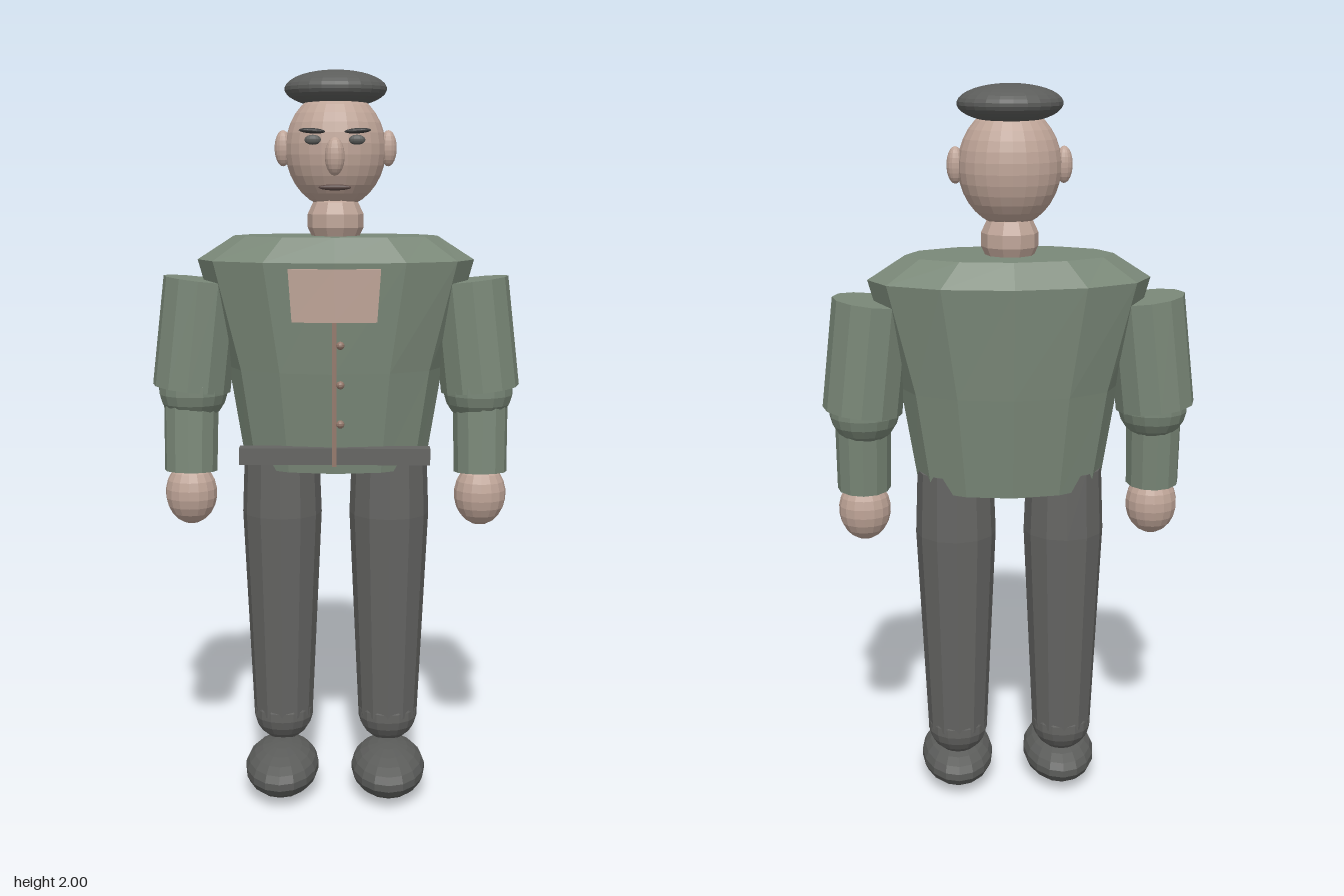
import * as THREE from 'three';

const material = (name, color) => {
  const m = new THREE.MeshStandardMaterial({ color });
  m.name = name;
  return m;
};

// Faceted shading: every face keeps its own normal
function faceted(geometry) {
  const g = geometry.index ? geometry.toNonIndexed() : geometry;
  g.computeVertexNormals();
  return g;
}

export function createModel() {
  const jacket = material('jacket green', 0x7a8878);
  const skin = material('skin', 0xbfa598);
  const cloth = material('trouser grey', 0x646462);
  const dark = material('shoe and cap grey', 0x5c5d5b);
  const trim = material('button brown', 0x94796c);
  const hair = material('brow dark', 0x3c3c3c);
  const lips = material('lip brown', 0x5a4844);

  const model = new THREE.Group();
  model.name = 'man';

  function add(name, geometry, mat, pos = [0, 0, 0], parent = model) {
    const mesh = new THREE.Mesh(faceted(geometry), mat);
    mesh.name = name;
    mesh.position.set(...pos);
    parent.add(mesh);
    return mesh;
  }
  function ball(name, mat, pos, radii, parent = model, segs = 16) {
    const g = new THREE.SphereGeometry(1, segs, Math.round(segs * 0.7)).scale(...radii);
    return add(name, g, mat, pos, parent);
  }
  // Tapered cylinder from a lower point to an upper point
  function limb(name, mat, low, high, rLow, rHigh, parent) {
    const a = new THREE.Vector3(...low);
    const b = new THREE.Vector3(...high);
    const g = new THREE.CylinderGeometry(rHigh, rLow, a.distanceTo(b), 12);
    const mesh = add(name, g, mat, a.clone().lerp(b, 0.5).toArray(), parent);
    mesh.quaternion.setFromUnitVectors(new THREE.Vector3(0, 1, 0), b.sub(a).normalize());
    return mesh;
  }

  // Jacket body: twelve-sided elliptical rings [y, half width, half depth]
  const rings = [
    [0.925, 0.25, 0.142],
    [1.2, 0.295, 0.173],
    [1.495, 0.378, 0.197],
    [1.56, 0.277, 0.155],
  ];
  const body = new THREE.CylinderGeometry(1, 1, 1, 12, rings.length - 1);
  const p = body.attributes.position;
  for (let i = 0; i < p.count; i++) {
    const [y, w, d] = rings[Math.round((p.getY(i) + 0.5) * (rings.length - 1))];
    p.setXYZ(i, p.getX(i) * w, y, p.getZ(i) * d - 0.031);
  }
  add('jacketBody', body, jacket);

  // Open shirt front, a thin plate bent at the middle
  const bib = new THREE.BoxGeometry(0.24, 0.14, 0.009, 2, 1, 1);
  const q = bib.attributes.position;
  for (let i = 0; i < q.count; i++) {
    const top = q.getY(i) > 0;
    const side = Math.abs(q.getX(i)) > 0.01;
    q.setX(i, q.getX(i) * (top ? 1.02 : 0.94));
    q.setZ(i, q.getZ(i) + (side ? -0.013 : 0) + (top ? 0.003 : -0.002));
  }
  add('shirtFront', bib, skin, [0, 1.41, 0.164]);

  // Placket, buttons and belt
  add('placket', new THREE.BoxGeometry(0.012, 0.39, 0.012), trim, [0, 1.15, 0.158]);
  for (const y of [1.28, 1.175, 1.07]) {
    ball('button', trim, [0.016, y, 0.162], [0.011, 0.011, 0.011], model, 10);
  }
  add('belt', new THREE.BoxGeometry(0.514, 0.045, 0.04), cloth, [0, 0.977, 0.115]);

  // Head, neck and cap
  const head = new THREE.Group();
  head.name = 'head';
  model.add(head);
  ball('neck', skin, [0, 1.6, -0.031], [0.078, 0.08, 0.08], head, 10);
  ball('skull', skin, [0, 1.79, -0.034], [0.136, 0.157, 0.119], head, 24);
  ball('cap', dark, [0, 1.95, -0.047], [0.138, 0.05, 0.123], head, 24);
  ball('nose', skin, [0, 1.77, 0.095], [0.026, 0.05, 0.027], head);
  ball('mouth', lips, [0, 1.69, 0.085], [0.043, 0.008, 0.008], head);

  for (const s of [1, -1]) {
    const side = s > 0 ? 'left' : 'right';

    // Face details
    ball(side + 'Ear', skin, [s * 0.142, 1.793, -0.032], [0.023, 0.048, 0.024], head);
    ball(side + 'Eye', dark, [s * 0.058, 1.813, 0.077], [0.022, 0.013, 0.01], head);
    const brow = ball(side + 'Brow', hair, [s * 0.06, 1.836, 0.08], [0.035, 0.007, 0.012], head);
    brow.rotation.z = s * 0.06;

    // Arm
    const arm = new THREE.Group();
    arm.name = side + 'Arm';
    model.add(arm);
    limb('upperSleeve', jacket, [s * 0.4, 1.14, -0.028], [s * 0.366, 1.44, -0.031], 0.108, 0.107, arm);
    ball('elbow', jacket, [s * 0.395, 1.14, -0.022], [0.096, 0.096, 0.1], arm);
    limb('lowerSleeve', jacket, [s * 0.402, 0.912, 0], [s * 0.4, 1.12, -0.015], 0.073, 0.076, arm);
    ball('hand', skin, [s * 0.402, 0.85, 0.003], [0.072, 0.088, 0.068], arm);

    // Leg
    const leg = new THREE.Group();
    leg.name = side + 'Leg';
    model.add(leg);
    limb('trouserLeg', cloth, [s * 0.15, 0.2, -0.031], [s * 0.15, 0.79, -0.031], 0.084, 0.111, leg);
    limb('thigh', cloth, [s * 0.15, 0.79, -0.031], [s * 0.15, 0.97, -0.031], 0.111, 0.104, leg);
    ball('ankle', cloth, [s * 0.15, 0.202, -0.031], [0.085, 0.085, 0.085], leg);
    ball('shoe', dark, [s * 0.15, 0.068, 0.052], [0.104, 0.068, 0.174], leg);
  }

  return model;
}
